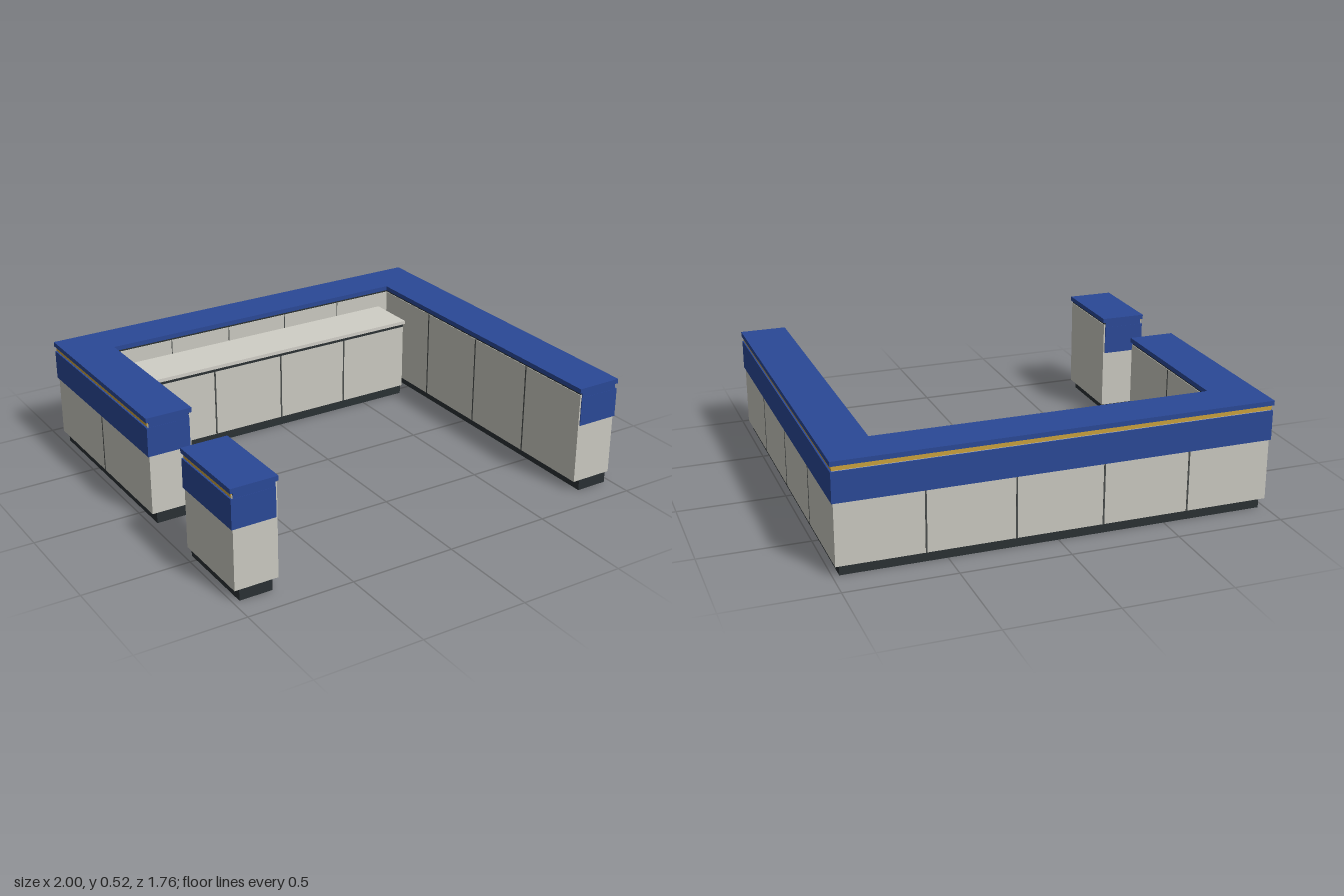
import * as THREE from 'three';

const mat = (color) => new THREE.MeshStandardMaterial({ color, side: THREE.DoubleSide });

export function createModel() {
  const root = new THREE.Group();
  root.name = 'serviceCounter';
  const blue = mat(0x2a4896), cream = mat(0xc9c8bf), dark = mat(0x2a3033);
  const gold = mat(0xc9a03c), seamMat = mat(0x4a4d4c), worktop = mat(0xd0cec6);

  function add(name, geometry, material, parent = root) {
    const mesh = new THREE.Mesh(geometry, material);
    mesh.name = name;
    parent.add(mesh);
    return mesh;
  }

  function box(name, material, x0, x1, y0, y1, z0, z1, parent = root) {
    const mesh = add(name, new THREE.BoxGeometry(x1 - x0, y1 - y0, z1 - z0), material, parent);
    mesh.position.set((x0 + x1) / 2, (y0 + y1) / 2, (z0 + z1) / 2);
  }

  // One horizontal layer: the U-shaped counter plus the separate island,
  // pulled in from the outer side (o), the inner side (i) and the ends (e)
  function layer(name, material, y0, y1, o, i, e) {
    const X = 1 - o, B = -0.88 + o, xi = 0.78 + i, zi = -0.67 - i;
    const outlines = [
      [[-X, B], [X, B], [X, 0.88 - e], [xi, 0.88 - e], [xi, zi], [-xi, zi], [-xi, 0.13 - e], [-X, 0.13 - e]],
      [[-X, 0.455 + e], [-xi, 0.455 + e], [-xi, 0.88 - e], [-X, 0.88 - e]],
    ];
    const shapes = outlines.map((pts) => new THREE.Shape(pts.map(([x, z]) => new THREE.Vector2(x, -z))));
    const geometry = new THREE.ExtrudeGeometry(shapes, { depth: y1 - y0, bevelEnabled: false });
    geometry.rotateX(-Math.PI / 2).translate(0, y0, 0);
    add(name, geometry, material);
  }

  // Counter layers from the floor up
  layer('plinth', dark, 0, 0.05, 0.03, 0.035, 0.003);
  layer('counterBody', cream, 0.05, 0.487, 0.01, 0.005, 0.005);
  layer('upperBand', blue, 0.335, 0.473, 0.003, 0.012, 0.001);
  layer('bandCollar', blue, 0.473, 0.5, 0.014, 0.014, 0.002);
  layer('goldTrim', gold, 0.476, 0.496, 0.008, 0.02, 0.01);
  layer('shadowGap', dark, 0.487, 0.499, 0.02, 0.008, 0.01);
  layer('countertop', blue, 0.498, 0.52, 0, 0, 0);

  // Panel seams: thin dark strips, just proud of the faces
  const seams = new THREE.Group();
  seams.name = 'panelSeams';
  root.add(seams);
  const w = 0.004, p = 0.001;
  const seamX = (x, z, y0, y1) => box('seam', seamMat, x - w, x + w, y0, y1, z - p, z + p, seams);
  const seamZ = (x, z, y0, y1) => box('seam', seamMat, x - p, x + p, y0, y1, z - w, z + w, seams);
  for (const x of [-0.6, -0.2, 0.2, 0.6]) seamX(x, -0.87, 0.05, 0.335);
  for (const z of [-0.435, 0.005, 0.44]) seamZ(0.99, z, 0.05, 0.335);
  seamZ(-0.99, -0.375, 0.05, 0.335);
  for (const x of [-0.475, -0.16, 0.16, 0.475]) {
    box('seam', seamMat, x - 0.002, x + 0.002, 0.05, 0.487, -0.676, -0.674, seams);
  }
  for (const z of [-0.29, 0.1, 0.49]) seamZ(0.785, z, 0.05, 0.487);
  seamZ(-0.785, -0.27, 0.05, 0.487);

  // Low back cabinet inside the U
  const cabinet = new THREE.Group();
  cabinet.name = 'backCabinet';
  root.add(cabinet);
  box('cabinetPlinth', dark, -0.73, 0.73, 0, 0.05, -0.67, -0.455, cabinet);
  box('cabinetBody', cream, -0.73, 0.73, 0.05, 0.382, -0.675, -0.44, cabinet);
  box('cabinetShadowGap', dark, -0.73, 0.73, 0.382, 0.4, -0.675, -0.437, cabinet);
  box('cabinetWorktop', worktop, -0.735, 0.735, 0.398, 0.415, -0.675, -0.43, cabinet);
  for (const x of [-0.367, 0, 0.367]) {
    box('doorSeam', seamMat, x - w, x + w, 0.05, 0.382, -0.441, -0.439, cabinet);
  }

  return root;
}
